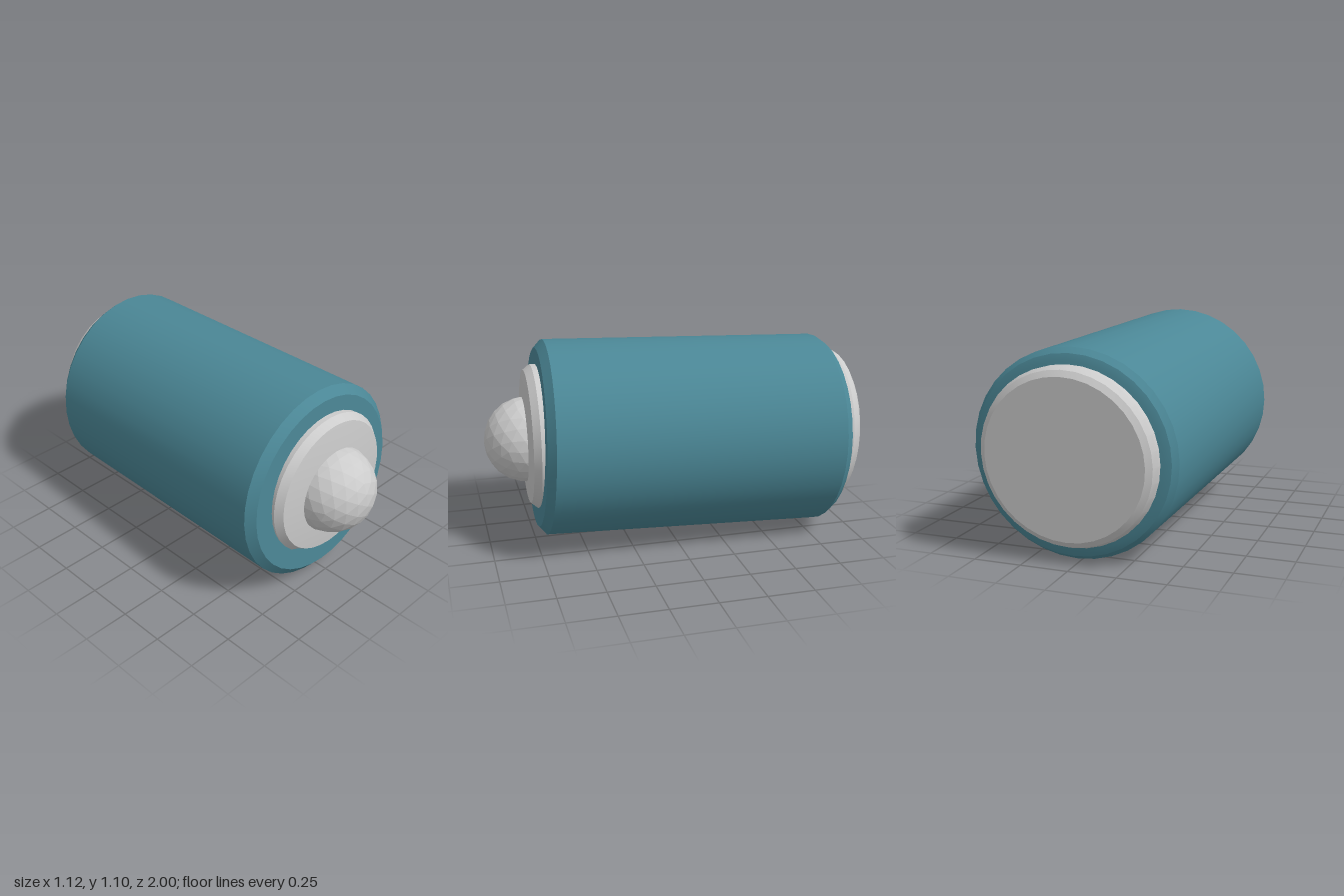
import * as THREE from 'three';
import { toCreasedNormals } from 'three/addons/utils/BufferGeometryUtils.js';

const SIDES = 36;

// Centre of the slightly leaning long axis at depth z
const axis = (z) => [-0.005 - 0.039 * z, 0.558 + 0.029 * z];

// Turned part along z from [radius, z] pairs (back to front); its slices lean with the
// axis and are tilted in depth by tiltX and tiltY
function turned(name, color, profile, { tiltX, tiltY, dx = 0, dy = 0, flatLine }) {
  const lathe = new THREE.LatheGeometry(profile.map(([r, z]) => new THREE.Vector2(r, z)), SIDES);
  lathe.rotateX(Math.PI / 2);
  const p = lathe.attributes.position;
  for (let i = 0; i < p.count; i++) {
    const z = p.getZ(i);
    const [cx, cy] = axis(z);
    const x = p.getX(i) + cx + dx;
    let y = p.getY(i) + cy + dy;
    if (flatLine) y = Math.max(y, flatLine(x));
    p.setXYZ(i, x, y, z + tiltX(z) * p.getX(i) + tiltY * p.getY(i));
  }
  const mesh = new THREE.Mesh(
    toCreasedNormals(lathe, 0.45),
    new THREE.MeshStandardMaterial({ color })
  );
  mesh.name = name;
  return mesh;
}

export function createModel() {
  const group = new THREE.Group();
  group.name = 'capsule';

  // Barrel with chamfered ends
  group.add(turned('barrel', 0x4b8796, [
    [0, -0.888], [0.47, -0.888], [0.505, -0.875], [0.53, -0.84],
    [0.53, 0.68], [0.485, 0.72], [0, 0.72],
  ], { tiltX: (z) => 0.025 * z, tiltY: -0.045 }));

  // Thick disc on the back end
  group.add(turned('backCap', 0xcccccc, [
    [0, -0.965], [0.41, -0.965], [0.44, -0.945], [0.455, -0.91], [0.45, -0.8], [0, -0.8],
  ], { tiltX: () => -0.015, tiltY: -0.08 }));

  // Shallow domed collar on the front, with a small flat at its lower right
  group.add(turned('frontCollar', 0xcccccc, [
    [0, 0.66], [0.39, 0.66], [0.39, 0.735], [0.36, 0.772], [0.23, 0.787], [0, 0.79],
  ], { tiltX: () => 0.02, tiltY: -0.01, dx: 0.012, dy: 0.01, flatLine: (x) => 0.217 - 0.23 * x }));

  // Ball set into the collar
  const ball = new THREE.Mesh(
    new THREE.IcosahedronGeometry(0.232, 3),
    new THREE.MeshStandardMaterial({ color: 0xcccccc, flatShading: true })
  );
  ball.name = 'frontBall';
  ball.position.set(-0.021, 0.577, 0.768);
  group.add(ball);

  return group;
}
